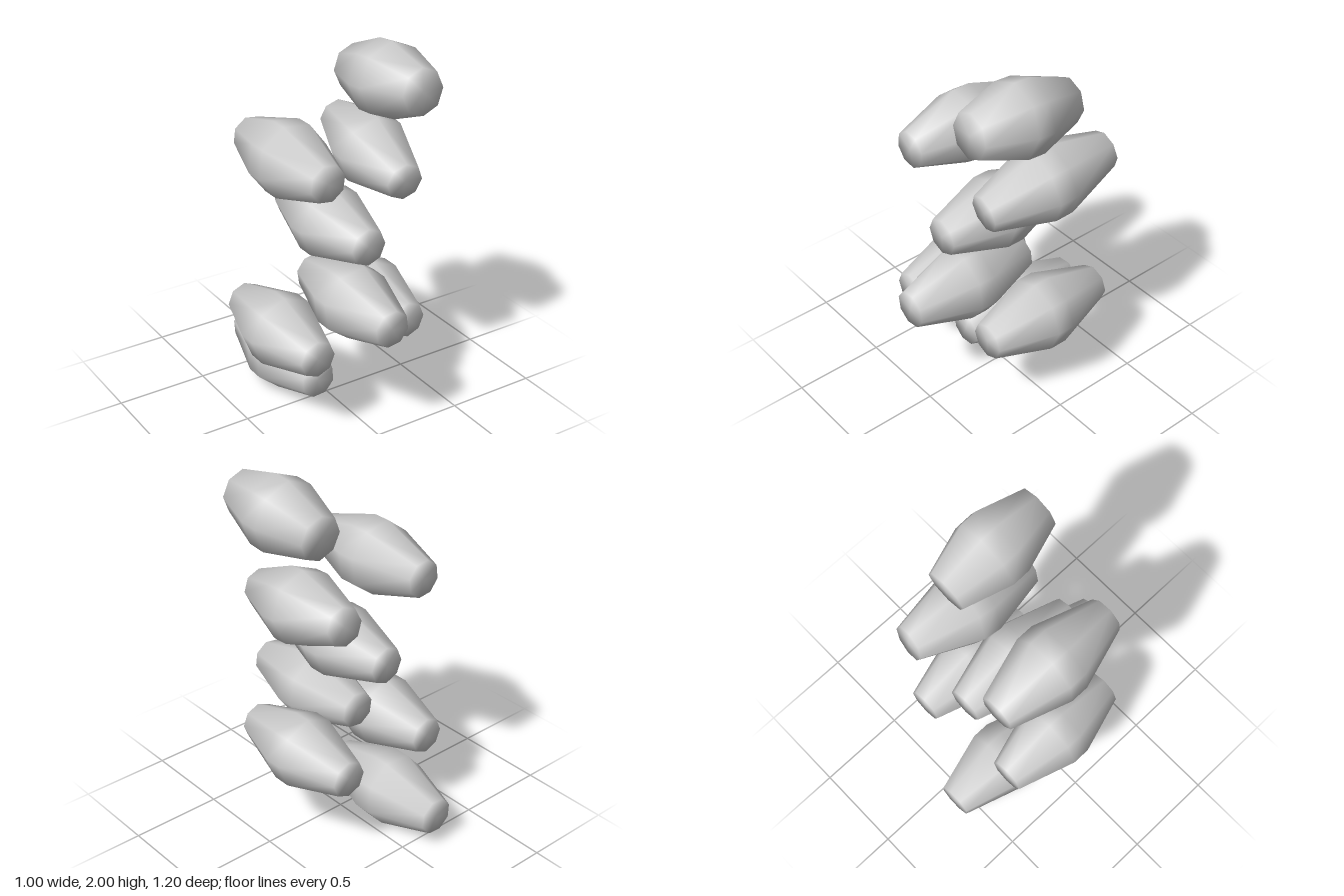
import * as THREE from 'three';

// Eight-sided smooth barrel along z: flat caps, tapered ends, short wide waist
function barrelGeometry(half, endRadius) {
  const profile = [
    [0, -half], [endRadius, -half], [0.2, -0.05],
    [0.2, 0.05], [endRadius, half], [0, half],
  ].map(([r, y]) => new THREE.Vector2(r, y));
  return new THREE.LatheGeometry(profile, 8).rotateX(Math.PI / 2);
}

export function createModel() {
  const group = new THREE.Group();
  const material = new THREE.MeshStandardMaterial({ color: 0xcccccc });
  const long = barrelGeometry(0.368, 0.1);
  const short = barrelGeometry(0.3, 0.12);

  // name, geometry, centre, tilt (pitch, yaw, roll in degrees)
  const barrels = [
    ['topBarrel', short, [0.28, 1.8, 0.12], [-4.8, 0, 0]],
    ['upperRightBarrel', long, [-0.24, 1.455, 0.017], [0, 0, 15]],
    ['upperLeftBarrel', long, [0.293, 1.367, -0.042], [7.5, -5.5, 0]],
    ['middleBarrel', long, [0, 1.05, 0.017], [0, 0, 0]],
    ['frontBarrel', long, [0, 0.688, 0.232], [0, 0, -14]],
    ['lowerRightBarrel', long, [-0.3, 0.502, 0.017], [0, 0, 0]],
    ['lowerLeftBarrel', long, [0.293, 0.52, -0.033], [0, 0, 0]],
    ['bottomBarrel', long, [-0.14, 0.191, -0.232], [0, 0, 27]],
  ];
  for (const [name, geometry, centre, tilt] of barrels) {
    const barrel = new THREE.Mesh(geometry, material);
    barrel.name = name;
    barrel.position.set(...centre);
    barrel.rotation.set(...tilt.map(THREE.MathUtils.degToRad));
    group.add(barrel);
  }
  return group;
}
